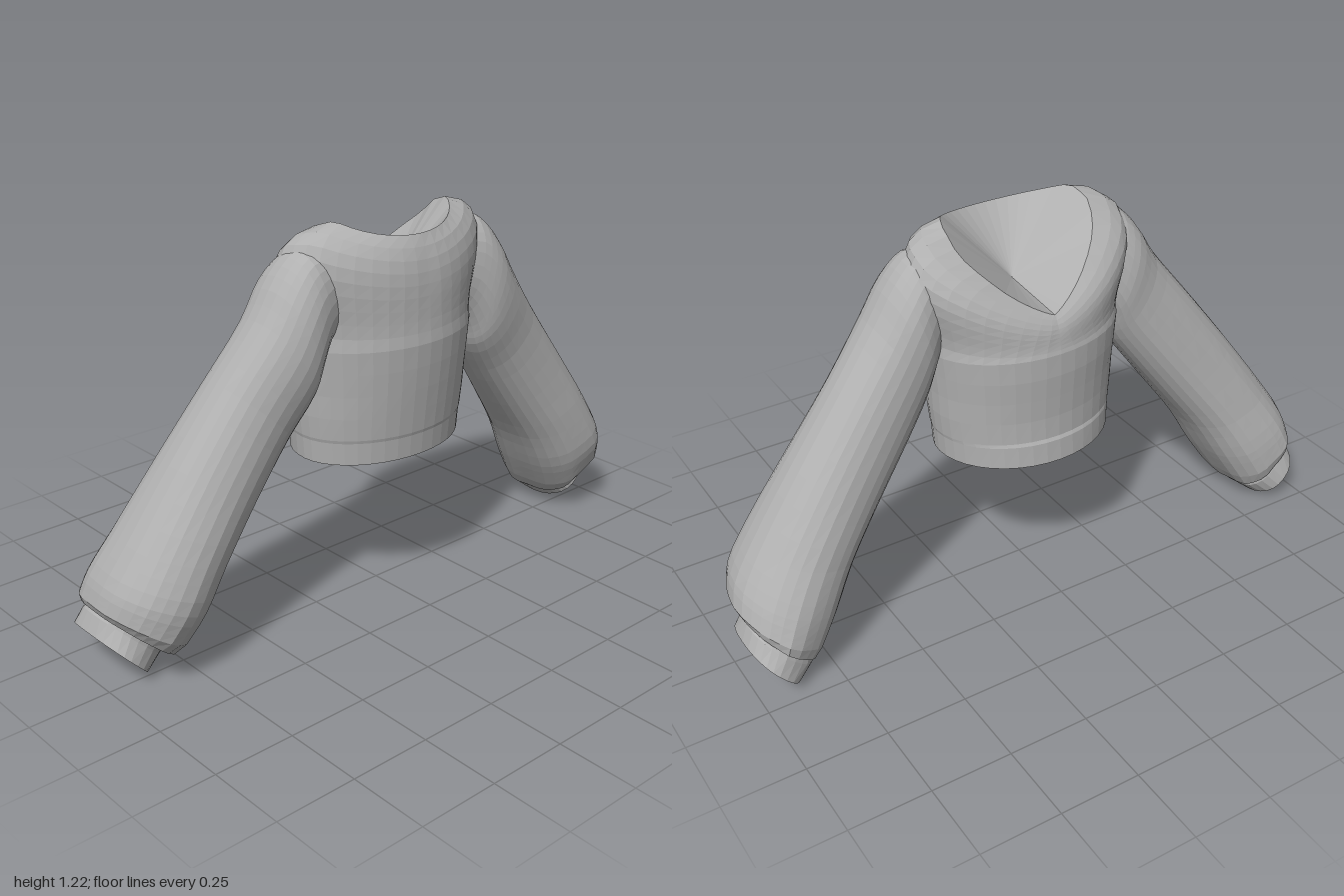
import * as THREE from 'three';

const SEG = 40;
const V = (x, y, z) => new THREE.Vector3(x, y, z);
const angles = n => Array.from({ length: n }, (_, i) => i / n * Math.PI * 2);
const signedPow = (v, e) => Math.sign(v) * Math.abs(v) ** e;

// Faceted mesh from a triangle list
function facet(tris, material, name) {
  const g = new THREE.BufferGeometry().setFromPoints(tris);
  g.computeVertexNormals();
  const mesh = new THREE.Mesh(g, material);
  mesh.name = name;
  return mesh;
}

// Surface through a list of closed rings
function loft(rings, material, name) {
  const tris = [];
  for (let r = 0; r < rings.length - 1; r++) {
    const lo = rings[r], hi = rings[r + 1], n = lo.length;
    for (let i = 0; i < n; i++) {
      const j = (i + 1) % n;
      tris.push(lo[i], lo[j], hi[j], lo[i], hi[j], hi[i]);
    }
  }
  return facet(tris, material, name);
}

// Fan closing a ring towards a centre point
function fan(ring, centre, material, name) {
  const tris = ring.flatMap((p, i) => [centre, p, ring[(i + 1) % ring.length]]);
  return facet(tris, material, name);
}

// Height of the neckline for a given z: scooped in front, deep V at the back
function neckHeight(z) {
  const pts = [[-0.19, 0.97], [-0.1, 1.1], [0, 1.2], [0.07, 1.225], [0.13, 1.2], [0.19, 1.175]];
  const i = Math.max(1, pts.findIndex(p => z <= p[0] + 1e-6));
  const [z0, y0] = pts[i - 1], [z1, y1] = pts[i];
  return y0 + (y1 - y0) * (z - z0) / (z1 - z0);
}

// Level body ring: height, half width, front depth, back depth
const bodyRing = ([y, w, f, b]) => angles(SEG).map(a =>
  V(w * Math.sin(a), y, Math.cos(a) * (Math.cos(a) > 0 ? f : b)));

const neckRing = () => angles(SEG).map(a => {
  const c = Math.cos(a), z = 0.19 * c;
  return V(0.235 * signedPow(Math.sin(a), c < 0 ? 1.7 : 1), neckHeight(z), z);
});

// Slightly squared sleeve ring from its outer point (x, y, front z) and inner point (x, y, back z)
function sleeveRing(o, i, ripple, phase, side) {
  const ring = angles(28).map(a => {
    const k = 1 + ripple * (Math.sin(5 * a + phase) + 0.6 * Math.sin(9 * a - 2 * phase));
    const c = signedPow(Math.cos(a), 0.87) * k / 2, s = signedPow(Math.sin(a), 0.87) * k / 2;
    return V(
      side * ((o.x + i.x) / 2 + (o.x - i.x) * c),
      (o.y + i.y) / 2 + (o.y - i.y) * c,
      (o.z + i.z) / 2 + (o.z - i.z) * s);
  });
  return side < 0 ? ring.reverse() : ring;
}

export function createModel() {
  const cloth = new THREE.MeshStandardMaterial({ color: 0xb0b0b0, side: THREE.DoubleSide });
  cloth.name = 'grey cloth';
  const model = new THREE.Group();
  model.name = 'croppedTop';

  // Hem band
  const hem = [[0.5, 0.285, 0.203, 0.235], [0.57, 0.29, 0.209, 0.23], [0.58, 0.293, 0.212, 0.224]].map(bodyRing);
  model.add(
    loft(hem, cloth, 'hemBand'),
    fan([...hem[0]].reverse(), V(0, 0.5, -0.015), cloth, 'hemOpening'));

  // Body, with a yoke that swells over the shoulders up to the neckline
  const body = [
    [0.58, 0.293, 0.212, 0.224], [0.65, 0.3, 0.22, 0.222], [0.72, 0.303, 0.228, 0.225],
    [0.79, 0.309, 0.235, 0.229], [0.86, 0.316, 0.24, 0.228],
  ].map(bodyRing);
  const chest = body[body.length - 1], neck = neckRing();
  for (let k = 1; k <= 9; k++) {
    const t = k / 9, swell = 6.75 * t * t * (1 - t);
    body.push(chest.map((p, i) => {
      const a = i / SEG * Math.PI * 2, s = Math.sin(a), c = Math.cos(a);
      const q = p.clone().lerp(neck[i], t);
      q.x += s * Math.abs(s) * 0.095 * swell;
      q.y += s * s * 0.042 * swell;
      q.z += c * ((c > 0 ? 0.018 : 0.01) + 0.022 * Math.abs(s)) * swell;
      return q;
    }));
  }
  model.add(
    loft(body, cloth, 'body'),
    fan(neck, V(0, 0.99, 0.04), cloth, 'neckOpening'));

  // Sleeve outline: outer and inner edges from shoulder to wrist
  const outer = new THREE.CatmullRomCurve3([
    V(0.22, 1.15, 0.12), V(0.335, 1.155, 0.152), V(0.405, 1.095, 0.168), V(0.48, 0.98, 0.168), V(0.605, 0.82, 0.148),
    V(0.76, 0.62, 0.15), V(0.905, 0.42, 0.162), V(0.975, 0.31, 0.162), V(0.995, 0.245, 0.135)]);
  const inner = new THREE.CatmullRomCurve3([
    V(0.2, 0.92, -0.03), V(0.27, 0.86, -0.07), V(0.305, 0.79, -0.095), V(0.325, 0.73, -0.097), V(0.4, 0.62, -0.118),
    V(0.515, 0.465, -0.152), V(0.625, 0.315, -0.192), V(0.7, 0.185, -0.225), V(0.76, 0.09, -0.238)]);
  // Gather and cuff: outer point, inner point, ripple
  const gather = [
    [V(0.985, 0.22, 0.1), V(0.79, 0.05, -0.23), 0.025],
    [V(0.965, 0.215, 0.04), V(0.795, 0.06, -0.205), 0.01],
  ];
  const cuff = [
    [V(0.978, 0.2, 0.036), V(0.81, 0.038, -0.22), 0.015],
    [V(1.0, 0.15, 0.045), V(0.86, 0.0, -0.235), 0],
  ];

  for (const side of [1, -1]) {
    const arm = new THREE.Group();
    arm.name = side > 0 ? 'leftSleeve' : 'rightSleeve';
    const rings = [];
    for (let k = 0; k <= 24; k++) {
      const t = k / 24;
      // Soft folds, stronger towards the gathered wrist
      const ripple = 0.006 + 0.014 * t ** 4;
      rings.push(sleeveRing(outer.getPoint(t), inner.getPoint(t), ripple, 1.2 * t + side, side));
    }
    const ringsOf = list => list.map(([o, i, r]) => sleeveRing(o, i, r, 1.4 + side, side));
    const tight = ringsOf(gather), band = ringsOf(cuff);
    arm.add(
      loft([...rings, ...tight, band[0]], cloth, 'puffSleeve'),
      loft(band, cloth, 'cuff'),
      fan(band[1], V(side * 0.925, 0.08, -0.095), cloth, 'wristOpening'));
    model.add(arm);
  }
  return model;
}
